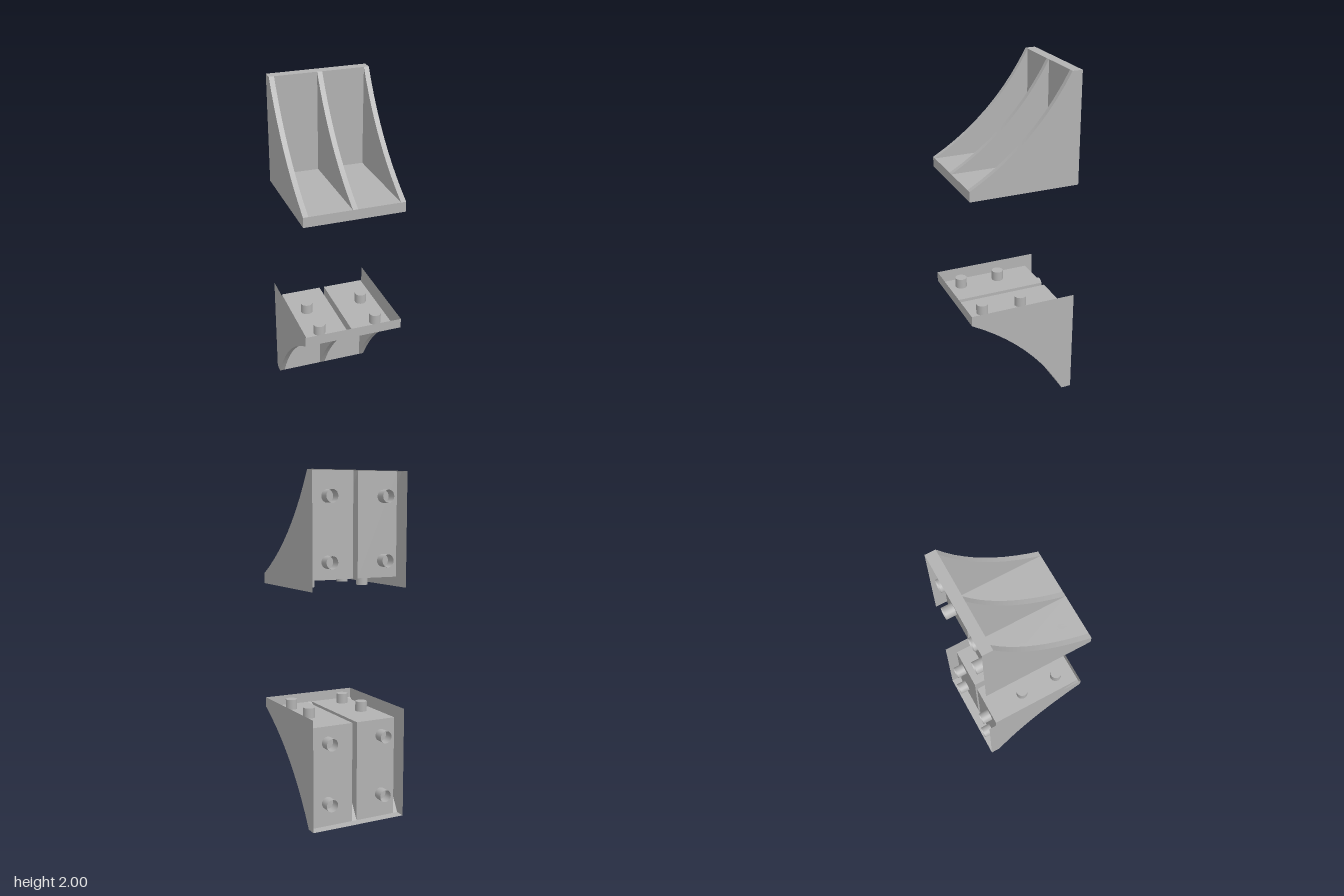
import * as THREE from 'three';

const W = 0.295, D = 0.324, H = 0.648, T = 0.06; // half width, half depth, height, lip
const SEG = 10;
const POCKETS = [[-0.265, -0.015], [0.015, 0.265]];
const RIMS = [[-W, -0.265], [-0.015, 0.015], [0.265, W]];

// concave edge running from the nose up to the top lip, in (z, y)
const edge = new THREE.QuadraticBezierCurve(
  new THREE.Vector2(D, T), new THREE.Vector2(-0.055, 0.27), new THREE.Vector2(T - D, H)
).getPoints(SEG);

// flat sheet in the zy plane at a given x
function sheet(points, x) {
  const g = new THREE.ShapeGeometry(new THREE.Shape(points));
  return g.rotateY(-Math.PI / 2).translate(x, 0, 0);
}

// strip following a zy path from x0 to x1
function strip(path, x0, x1) {
  const pos = [], index = [];
  path.forEach((p, i) => {
    pos.push(x0, p.y, p.x, x1, p.y, p.x);
    if (i) {
      const a = 2 * i - 2;
      index.push(a, a + 1, a + 2, a + 1, a + 3, a + 2);
    }
  });
  const g = new THREE.BufferGeometry();
  g.setAttribute('position', new THREE.Float32BufferAttribute(pos, 3));
  g.setIndex(index);
  g.computeVertexNormals();
  return g;
}

// turn a geometry upside down, keeping faces outward
function flip(g) {
  g.scale(1, -1, 1);
  const ix = g.index;
  for (let i = 0; i < ix.count; i += 3) {
    const b = ix.getX(i + 1);
    ix.setX(i + 1, ix.getX(i + 2));
    ix.setX(i + 2, b);
  }
  return g;
}

function makeBracket(name, inverted, material) {
  const group = new THREE.Group();
  group.name = name;
  const add = (part, g) => {
    const m = new THREE.Mesh(inverted ? flip(g) : g, material);
    m.name = part;
    group.add(m);
  };
  const v = (z, y) => new THREE.Vector2(z, y);

  // outer side walls
  const outline = [v(-D, 0), v(D, 0), ...edge, v(-D, H)];
  for (const x of [-W, W]) add('sideWall', sheet(outline, x));

  // nose and top lips
  add('frontLip', strip([v(D, 0), v(D, T)], -W, W));
  add('topLip', strip([v(T - D, H), v(-D, H)], -W, W));

  // curved rims of the hollow ribs
  for (const [a, b] of RIMS) add('curvedRim', strip(edge, a, b));

  // pockets: floor, back plate and inner walls
  for (const [a, b] of POCKETS) {
    add('pocketFloor', strip([v(D, T), v(T - D, T)], a, b));
    add('pocketBack', strip([v(T - D, T), v(T - D, H)], a, b));
    for (const x of [a, b]) add('pocketWall', sheet([v(T - D, T), ...edge], x));
  }

  // pegs under the floor and tubes behind the back plates
  for (const x of [-0.175, 0.175]) {
    for (const z of [-0.03, 0.213]) {
      add('floorPeg', new THREE.CylinderGeometry(0.035, 0.035, T, 20).translate(x, T / 2, z));
    }
    for (const y of [0.155, 0.51]) {
      add('backTube', new THREE.CylinderGeometry(0.036, 0.036, T, 20, 1, true)
        .rotateX(Math.PI / 2).translate(x, y, T / 2 - D));
    }
  }
  return group;
}

export function createModel() {
  const grey = new THREE.MeshStandardMaterial({ color: 0xb2b2b2, side: THREE.DoubleSide });
  grey.name = 'grey';
  const model = new THREE.Group();
  model.name = 'bracketPair';
  const upper = makeBracket('upperBracket', false, grey);
  upper.position.y = 2 - H;
  const lower = makeBracket('lowerBracket', true, grey);
  lower.position.y = H;
  model.add(upper, lower);
  return model;
}
